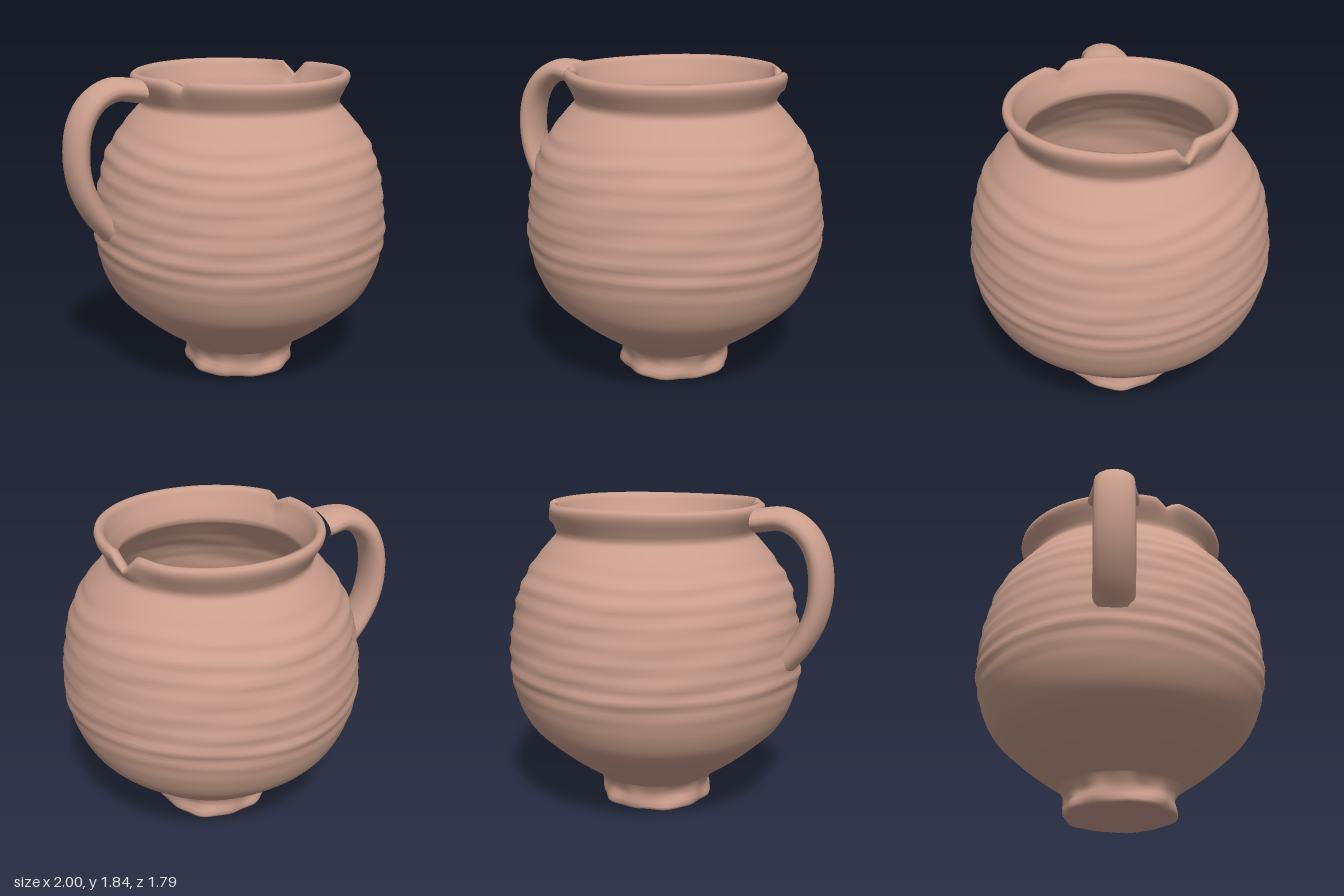
import * as THREE from 'three';
import { mergeVertices } from 'three/addons/utils/BufferGeometryUtils.js';

const clay = new THREE.MeshStandardMaterial({ color: 0xcb9f8d });
clay.name = 'terracotta';

const AXIS_X = 0.11; // the pot's axis, moved aside to balance the handle
const points = (list) => list.map(([r, y]) => new THREE.Vector2(r, y));
const smooth = (list, n) => new THREE.SplineCurve(points(list)).getPoints(n);
const bump = (a, centre, width) => {
  const d = Math.atan2(Math.sin(a - centre), Math.cos(a - centre));
  return Math.max(0, 1 - Math.abs(d) / width);
};

// Drop the seam so that normals run smoothly all the way round
function weld(geometry) {
  geometry.deleteAttribute('uv');
  geometry.deleteAttribute('normal');
  const welded = mergeVertices(geometry, 1e-4);
  welded.computeVertexNormals();
  return welded;
}

function turned(profile) {
  const geometry = new THREE.LatheGeometry(profile, 96);
  const p = geometry.attributes.position;
  for (let i = 0; i < p.count; i++) {
    const x = p.getX(i), y = p.getY(i), z = p.getZ(i);
    const r = Math.hypot(x, z);
    if (r < 0.2) continue;
    const a = Math.atan2(z, x);
    let nr = r, ny = y;
    // Uneven wheel ridges, strongest around the belly
    const belly = THREE.MathUtils.smoothstep(y, 0.6, 0.9) * (1 - THREE.MathUtils.smoothstep(y, 1.45, 1.6));
    nr += 0.006 * belly * Math.sin(62 * y + 2 * Math.sin(a) + 1.3 * Math.sin(3 * a + 1))
      + 0.003 * belly * Math.sin(7 * a + 24 * y);
    // Rough foot
    if (y < 0.14) nr += 0.008 * Math.sin(5 * a + 30 * y) + 0.005 * Math.sin(11 * a);
    // Wavy lip, with a notch on the left and dents in its outer edge
    if (y > 1.68) {
      const t = (y - 1.68) / 0.17;
      ny += t * (0.004 * Math.sin(3 * a) - 0.09 * bump(a, -0.39, 0.13) - 0.04 * bump(a, 2.69, 0.1));
      if (r > 0.6) nr -= t * (0.035 * bump(a, -0.55, 0.3) + 0.04 * bump(a, 2.69, 0.14));
    }
    p.setXYZ(i, Math.cos(a) * nr, ny, Math.sin(a) * nr);
  }
  return weld(geometry);
}

export function createModel() {
  const jug = new THREE.Group();
  jug.name = 'jug';

  // Foot, belly, lip and hollow inside in one profile
  const profile = [
    ...points([[0, 0.025], [0.22, 0.018], [0.31, 0.008], [0.328, 0.012], [0.338, 0.03], [0.335, 0.06], [0.326, 0.09], [0.33, 0.13]]),
    ...smooth([[0.36, 0.175], [0.42, 0.22], [0.54, 0.305], [0.66, 0.405], [0.775, 0.52], [0.845, 0.66], [0.88, 0.8],
      [0.888, 0.9], [0.878, 1.05], [0.85, 1.22], [0.81, 1.36], [0.755, 1.46], [0.68, 1.56], [0.595, 1.655]], 64),
    ...points([[0.59, 1.675], [0.6, 1.7], [0.625, 1.75], [0.645, 1.785], [0.652, 1.815], [0.647, 1.835], [0.63, 1.847],
      [0.605, 1.842], [0.592, 1.81], [0.565, 1.74], [0.532, 1.675]]),
    ...smooth([[0.54, 1.64], [0.62, 1.54], [0.73, 1.38], [0.79, 1.2], [0.82, 0.95], [0.8, 0.75], [0.72, 0.56],
      [0.5, 0.34], [0.345, 0.225]], 36),
    ...points([[0.332, 0.18], [0.32, 0.13], [0.27, 0.1], [0, 0.1]]),
  ];
  const body = new THREE.Mesh(turned(profile), clay);
  body.name = 'potBody';
  body.position.x = AXIS_X;
  jug.add(body);

  // Strap handle: a tube widened into an oval section, flaring at its joints
  const path = new THREE.CatmullRomCurve3([
    [-0.735, 0.96], [-0.83, 1.08], [-0.905, 1.24], [-0.93, 1.42], [-0.9, 1.6], [-0.82, 1.72], [-0.7, 1.78], [-0.55, 1.765],
  ].map(([x, y]) => new THREE.Vector3(x, y, 0)));
  const strap = new THREE.TubeGeometry(path, 40, 0.068, 16);
  const p = strap.attributes.position;
  for (let i = 0; i < p.count; i++) {
    const flare = THREE.MathUtils.smoothstep(p.getX(i), -0.75, -0.52);
    p.setZ(i, p.getZ(i) * (1.75 + 0.6 * flare) - 0.05);
  }
  const handle = new THREE.Mesh(weld(strap), clay);
  handle.name = 'handle';
  jug.add(handle);

  return jug;
}
